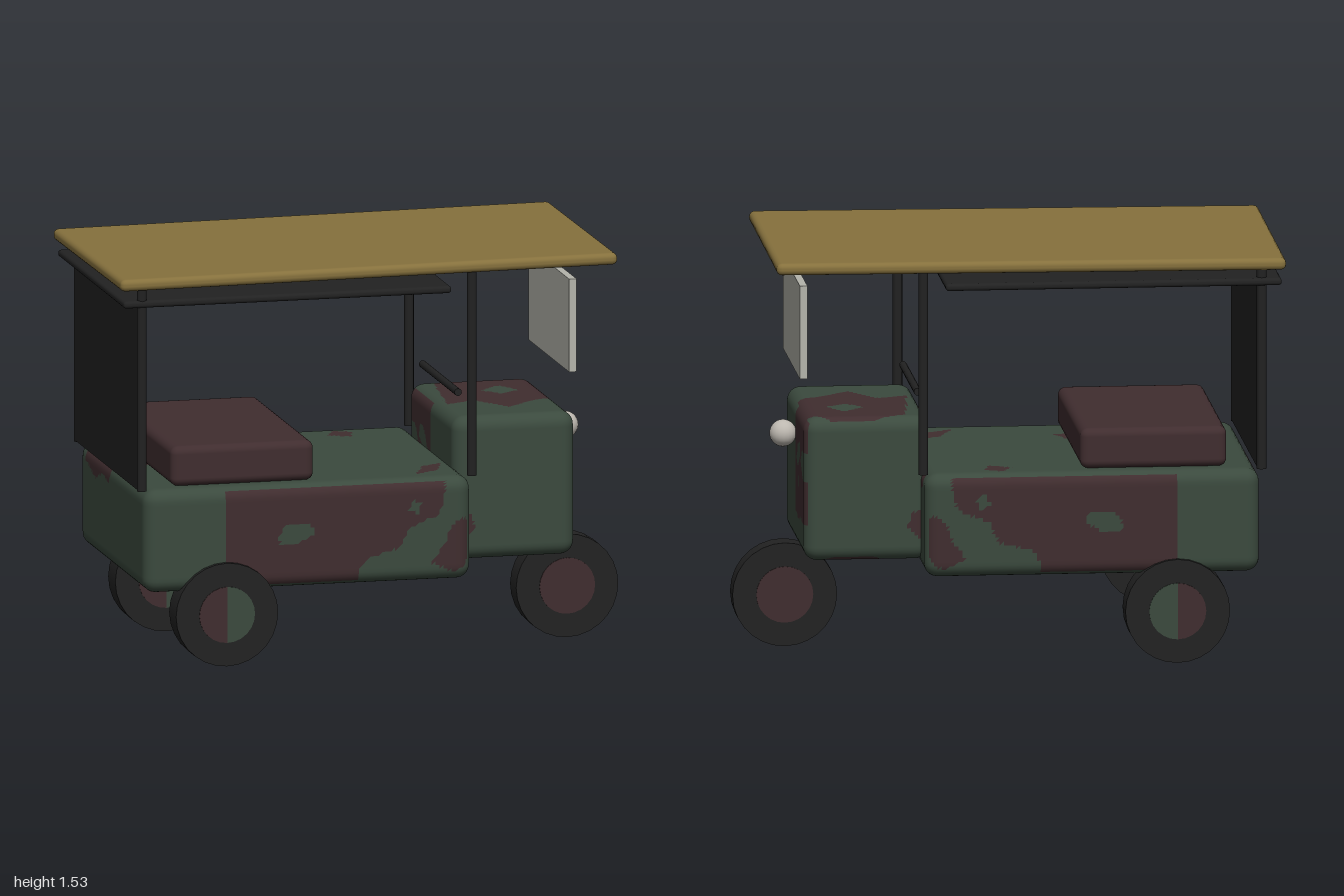
import * as THREE from 'three';
import { RoundedBoxGeometry } from 'three/addons/geometries/RoundedBoxGeometry.js';

const paint = (name, color) => {
  const m = new THREE.MeshStandardMaterial({ color });
  m.name = name;
  return m;
};

// Camouflage patches as [isMaroon, corner points]; later patches cover earlier ones.
const sidePatches = [ // x, y
  [1, [[-0.6, 0.2], [-0.6, 0.8], [0.24, 0.8], [0.23, 0.66], [0.21, 0.58], [0.13, 0.55], [0.09, 0.53],
    [0.06, 0.46], [-0.06, 0.43], [-0.1, 0.38], [-0.1, 0.2]]],
  [0, [[-0.4, 0.52], [-0.37, 0.57], [-0.28, 0.57], [-0.26, 0.53], [-0.33, 0.49], [-0.39, 0.49]]],
  [0, [[0.09, 0.6], [0.11, 0.64], [0.14, 0.62], [0.13, 0.58]]],
  [1, [[0.18, 0.4], [0.23, 0.47], [0.25, 0.53], [0.29, 0.56], [0.36, 0.55], [0.38, 0.49], [0.33, 0.44],
    [0.3, 0.38], [0.26, 0.36]]],
];
const bodyPatches = {
  z: sidePatches,
  x: [[1, [[0, 0.75], [-0.42, 0.75], [-0.4, 0.66], [-0.25, 0.62], [-0.15, 0.66], [-0.05, 0.64]]]], // z, y
  y: [ // x, z
    [1, [[-0.22, 0.28], [-0.3, 0.1], [-0.42, 0.14], [-0.56, 0.1], [-0.56, 0.22], [-0.42, 0.26], [-0.34, 0.32]]],
    [1, [[-0.58, 0.06], [-0.66, -0.08], [-0.8, -0.14], [-0.82, -0.02], [-0.7, 0.08]]],
    [1, [[0.0, -0.36], [0.08, -0.32], [0.1, -0.4], [0.04, -0.44]]],
    [1, [[0.14, 0.42], [0.24, 0.36], [0.28, 0.24], [0.2, 0.28]]],
  ],
};
const cabPatches = {
  z: sidePatches,
  x: [ // z, y
    [1, [[0, 1], [0, 0.51], [-0.1, 0.49], [-0.2, 0.51], [-0.32, 0.5], [-0.4, 0.52], [-0.4, 1]]],
    [0, [[-0.05, 0.71], [-0.09, 0.77], [-0.16, 0.79], [-0.18, 0.74], [-0.12, 0.7], [-0.07, 0.68]]],
    [0, [[-0.09, 0.65], [-0.12, 0.65], [-0.12, 0.61], [-0.09, 0.61]]],
    [0, [[-0.19, 0.72], [-0.24, 0.77], [-0.36, 0.77], [-0.36, 0.66], [-0.3, 0.66], [-0.25, 0.68]]],
  ],
  y: [ // x, z
    [1, [[0.34, 0.1], [0.38, -0.28], [0.6, -0.36], [0.8, -0.24], [0.8, 0.05], [0.66, 0.1], [0.55, 0.2], [0.45, 0.05]]],
    [0, [[0.52, -0.12], [0.58, -0.05], [0.66, -0.1], [0.6, -0.2]]],
  ],
};

function inside(px, py, pts) {
  let hit = false;
  for (let i = 0, j = pts.length - 1; i < pts.length; j = i++) {
    const [ax, ay] = pts[i], [bx, by] = pts[j];
    if ((ay > py) !== (by > py) && px < (bx - ax) * (py - ay) / (by - ay) + ax) hit = !hit;
  }
  return hit;
}

// Rounded box on a fine grid; its triangles are sorted into green and maroon groups.
function camoBox(size, centre, radius, segments, patches) {
  const geo = new THREE.BoxGeometry(...size, ...segments);
  const pos = geo.attributes.position, nor = geo.attributes.normal;
  const half = new THREE.Vector3(...size).multiplyScalar(0.5).subScalar(radius);
  const low = half.clone().negate();
  const p = new THREE.Vector3(), core = new THREE.Vector3();
  const c = new THREE.Vector3(...centre);
  for (let i = 0; i < pos.count; i++) {
    p.fromBufferAttribute(pos, i);
    core.copy(p).clamp(low, half);
    p.sub(core).normalize();
    nor.setXYZ(i, p.x, p.y, p.z);
    p.multiplyScalar(radius).add(core).add(c);
    pos.setXYZ(i, p.x, p.y, p.z);
  }
  const sorted = [[], []];
  const index = geo.index.array;
  for (const g of geo.groups) {
    const axis = 'xyz'[g.materialIndex >> 1];
    for (let i = g.start; i < g.start + g.count; i += 3) {
      const tri = [index[i], index[i + 1], index[i + 2]];
      p.set(0, 0, 0);
      tri.forEach(v => p.add(core.fromBufferAttribute(pos, v)));
      p.divideScalar(3);
      const [u, v] = axis === 'x' ? [p.z, p.y] : axis === 'y' ? [p.x, p.z] : [p.x, p.y];
      let maroon = 0;
      for (const [isMaroon, pts] of patches[axis]) if (inside(u, v, pts)) maroon = isMaroon;
      sorted[maroon].push(...tri);
    }
  }
  geo.setIndex(sorted[0].concat(sorted[1]));
  geo.clearGroups();
  geo.addGroup(0, sorted[0].length, 0);
  geo.addGroup(sorted[0].length, sorted[1].length, 1);
  return geo;
}

export function createModel() {
  const green = paint('camouflage green', 0x3b4a3e);
  const maroon = paint('camouflage maroon', 0x402d2f);
  const black = paint('black', 0x222222);
  const tan = paint('roof tan', 0x86713d);
  const glass = paint('windshield grey', 0xb4b4ab);
  const lampGrey = paint('lamp grey', 0xbdb8b0);

  const model = new THREE.Group();
  model.name = 'threeWheeler';
  const add = (name, geo, mat, x = 0, y = 0, z = 0, parent = model) => {
    const mesh = new THREE.Mesh(geo, mat);
    mesh.name = name;
    mesh.position.set(x, y, z);
    parent.add(mesh);
    return mesh;
  };

  // Body and cab
  add('body', camoBox([1.235, 0.385, 1.005], [-0.2875, 0.5225, 0.0075], 0.05, [81, 26, 67], bodyPatches), [green, maroon]);
  add('cab', camoBox([0.46, 0.535, 0.7], [0.53, 0.6375, 0.01], 0.05, [34, 40, 70], cabPatches), [green, maroon]);
  add('seat', new RoundedBoxGeometry(0.54, 0.15, 0.88, 3, 0.03), maroon, -0.52, 0.79, 0.01);
  add('headlight', new THREE.SphereGeometry(0.05, 20, 14), lampGrey, 0.805, 0.79, 0.01);

  // Roof, inner canopy, rear curtain and windshield
  const roof = add('roof', new RoundedBoxGeometry(1.88, 0.045, 1.055, 2, 0.02), tan, -0.06, 1.495, 0);
  roof.rotation.set(-0.007, 0, 0.007);
  add('canopy', new RoundedBoxGeometry(1.24, 0.027, 1.02, 2, 0.012), black, -0.365, 1.417, 0);
  add('rearCurtain', new THREE.BoxGeometry(0.033, 0.7, 0.965), black, -0.913, 1.07, 0.007);
  add('windshield', new THREE.BoxGeometry(0.028, 0.348, 0.622), glass, 0.76, 1.222, 0.005);

  // Posts and handlebar
  for (const x of [-0.913, 0.335]) {
    for (const z of [0.488, -0.474]) {
      add('post', new THREE.CylinderGeometry(0.018, 0.018, 0.77, 12), black, x, 1.1, z);
    }
  }
  const bar = add('handlebar', new THREE.CylinderGeometry(0.014, 0.014, 0.545, 12), black, 0.335, 0.985, 0.008);
  bar.rotation.x = Math.PI / 2;

  // Wheels; each hub is two half discs through the tyre
  const wheel = (name, x, y, z, width, rearHalf, frontHalf) => {
    const group = new THREE.Group();
    group.name = name;
    group.position.set(x, y, z);
    group.rotation.x = Math.PI / 2;
    model.add(group);
    add('tyre', new THREE.CylinderGeometry(0.193, 0.193, width, 28), black, 0, 0, 0, group);
    [frontHalf, rearHalf].forEach((mat, i) => add('hub',
      new THREE.CylinderGeometry(0.105, 0.105, width + 0.006, 12, 1, false, i * Math.PI, Math.PI), mat, 0, 0, 0, group));
  };
  wheel('frontWheel', 0.803, 0.195, 0.008, 0.094, maroon, maroon);
  wheel('rearWheelNear', -0.6, 0.245, 0.477, 0.106, maroon, green);
  wheel('rearWheelFar', -0.6, 0.195, -0.458, 0.11, maroon, green);

  return model;
}
